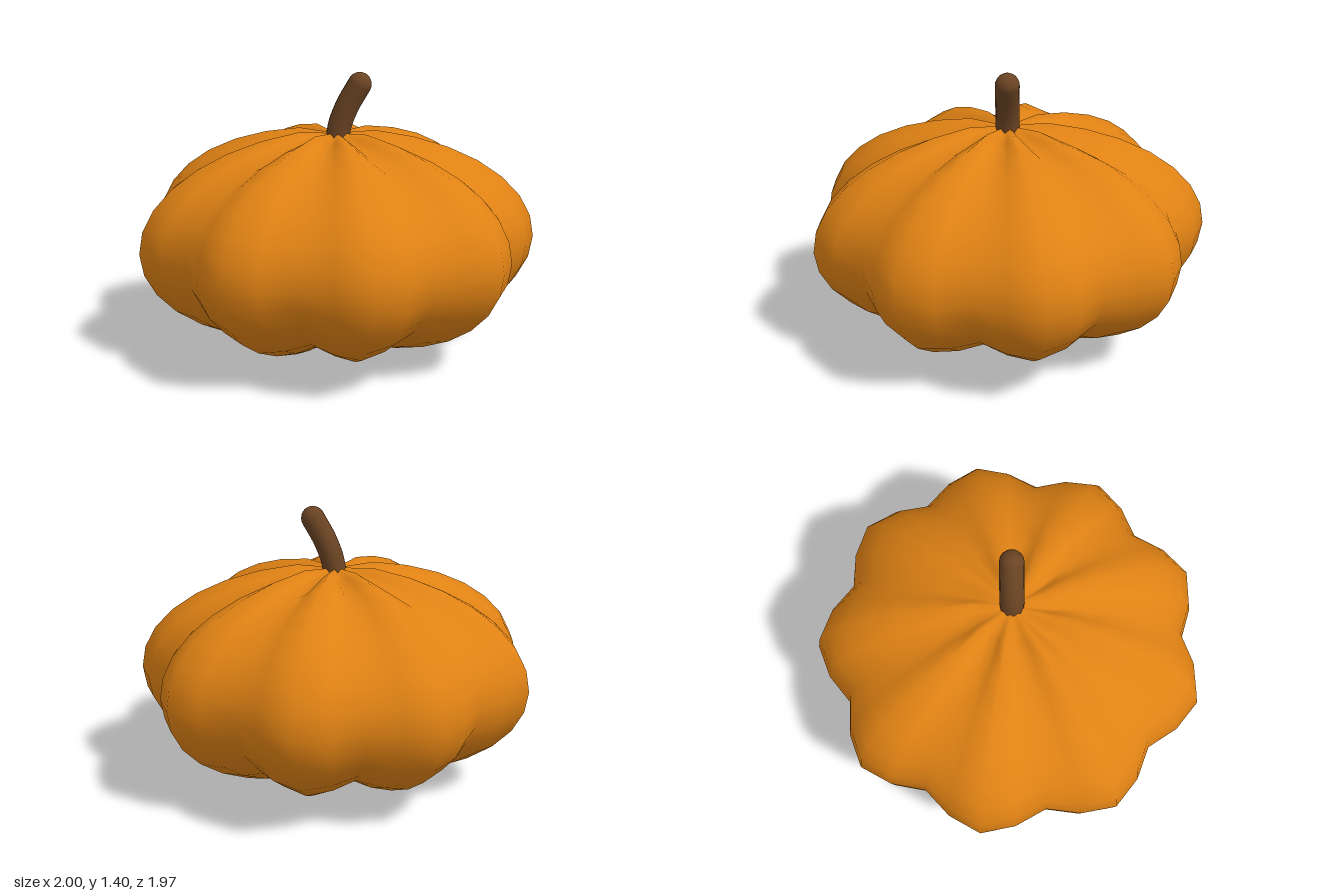
import * as THREE from 'three';
import { mergeVertices } from 'three/addons/utils/BufferGeometryUtils.js';

const CENTER_Y = 0.553, CENTER_Z = 0.03, SQUASH = 0.555;

// Nine rounded lobes with sharper valleys; one lobe points straight back
function lobeRadius(x, z) {
  if (Math.hypot(x, z) < 1e-6) return 0.967;
  const angle = Math.atan2(x, -z);
  return 0.897 + 0.117 * Math.pow(Math.abs(Math.cos(4.5 * angle)), 1.5);
}

// Squashed sphere whose radius swells and shrinks around the axis
function makeBody() {
  let geo = new THREE.SphereGeometry(1, 36, 16);
  geo.deleteAttribute('uv');
  geo.deleteAttribute('normal');
  geo = mergeVertices(geo, 1e-4);
  const p = geo.attributes.position;
  for (let i = 0; i < p.count; i++) {
    const r = lobeRadius(p.getX(i), p.getZ(i));
    p.setXYZ(i, p.getX(i) * r, p.getY(i) * r * SQUASH, p.getZ(i) * r);
  }
  geo.computeVertexNormals();
  const body = new THREE.Mesh(geo, new THREE.MeshStandardMaterial({ color: 0xe08214 }));
  body.name = 'ribbedBody';
  body.position.set(0, CENTER_Y, CENTER_Z);
  return body;
}

// Bent round stem with domed ends
function makeStem() {
  const stem = new THREE.Group();
  stem.name = 'stem';
  const material = new THREE.MeshStandardMaterial({ color: 0x6b4423 });
  const radius = 0.06;
  const points = [[0.008, 1.07], [0.022, 1.14], [0.06, 1.235], [0.12, 1.34]]
    .map(([x, y]) => new THREE.Vector3(x, y, CENTER_Z));
  const path = new THREE.CatmullRomCurve3(points);
  const stalk = new THREE.Mesh(new THREE.TubeGeometry(path, 12, radius, 16), material);
  stalk.name = 'stemStalk';
  stem.add(stalk);
  for (const [name, t] of [['stemBase', 0], ['stemTip', 1]]) {
    const dome = new THREE.Mesh(new THREE.SphereGeometry(radius, 16, 12), material);
    dome.name = name;
    dome.position.copy(path.getPoint(t));
    stem.add(dome);
  }
  return stem;
}

export function createModel() {
  const pumpkin = new THREE.Group();
  pumpkin.name = 'pumpkin';
  pumpkin.add(makeBody(), makeStem());
  return pumpkin;
}
